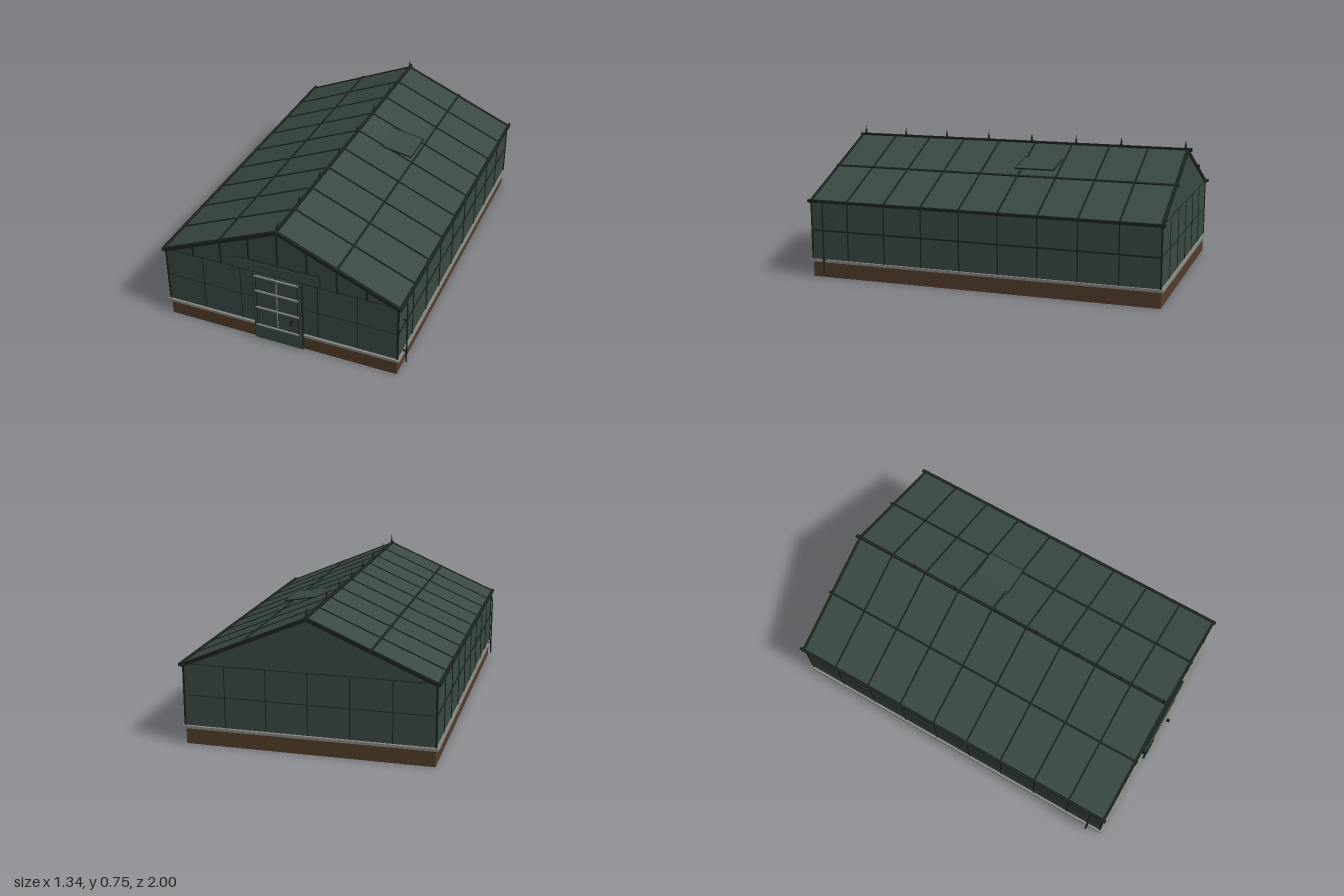
import * as THREE from 'three';

export function createModel() {
  const model = new THREE.Group();
  const mat = (name, color) => {
    const m = new THREE.MeshStandardMaterial({ color });
    m.name = name;
    return m;
  };
  const glass = mat('green glass', 0x3a4a43);
  const frame = mat('dark frame', 0x1c2421);
  const brick = mat('brown brick', 0x543d2b);
  const stone = mat('grey stone', 0x868780);

  const add = (name, geo, material, x = 0, y = 0, z = 0, parent = model) => {
    const mesh = new THREE.Mesh(geo, material);
    mesh.name = name;
    mesh.position.set(x, y, z);
    parent.add(mesh);
    return mesh;
  };
  // box given by its min and max on each axis
  const box = (name, material, [x0, x1], [y0, y1], [z0, z1], parent = model) =>
    add(name, new THREE.BoxGeometry(x1 - x0, y1 - y0, z1 - z0), material,
      (x0 + x1) / 2, (y0 + y1) / 2, (z0 + z1) / 2, parent);
  const around = (c, half) => [c - half, c + half];

  const back = -0.97, front = 0.95, wall = 0.643;
  const eave = 0.422, ridge = 0.697, sill = 0.1;
  const bays = 9, pitch = (front - back) / bays;

  // brick plinth and its stone cap
  box('plinth', brick, [-0.64, 0.64], [0, 0.086], [back, front]);
  box('plinthCap', stone, [-0.656, 0.656], [0.086, sill], [back - 0.015, front + 0.013]);

  // glazed walls with both gables
  const profile = new THREE.Shape([
    [-wall, sill], [wall, sill], [wall, eave], [0, ridge], [-wall, eave],
  ].map(([x, y]) => new THREE.Vector2(x, y)));
  add('glazedWalls', new THREE.ExtrudeGeometry(profile, { depth: front - back, bevelEnabled: false }),
    glass, 0, 0, back);

  // side wall bars
  for (const s of [-1, 1]) {
    for (let i = 0; i <= bays; i++) {
      box('wallMullion', frame, around(s * wall, 0.004), [sill, eave], around(back + i * pitch, 0.003));
    }
    box('wallRail', frame, around(s * wall, 0.005), around(0.261, 0.004), [back, front]);
  }

  // end wall bars
  for (const [z, isFront] of [[back, false], [front, true]]) {
    for (let i = -2; i <= 2; i++) {
      if (isFront && i === 0) continue;
      box('endMullion', frame, around(i * 0.2145, 0.002), [sill, eave], around(z, 0.003));
    }
    box('endRail', frame, [-wall, wall], around(0.261, 0.0015), around(z, 0.003));
    box('endTieBar', frame, [-wall, wall], around(eave + 0.002, 0.0015), around(z, 0.003));
    for (const s of [-1, 1]) {
      box('cornerPost', frame, around(s * wall, 0.005), [sill, eave], around(z, 0.004));
    }
  }
  // front gable studs
  for (let i = -3; i <= 3; i++) {
    const x = i * 0.16;
    box('gableStud', frame, around(x, 0.004), [eave, ridge - Math.abs(x) * 0.4277], around(front, 0.006));
  }

  // roof slopes, each built along its own slope and tilted
  const slope = Math.atan2(ridge - eave, wall);
  const length = 0.655 / Math.cos(slope);
  for (const s of [-1, 1]) {
    const side = new THREE.Group();
    side.name = s > 0 ? 'leftRoofSlope' : 'rightRoofSlope';
    side.position.y = ridge;
    side.rotation.z = -s * slope;
    model.add(side);
    const span = s > 0 ? [0, length] : [-length, 0];
    box('roofGlass', glass, span, [-0.003, 0.003], [back, front], side);
    for (let i = 0; i <= bays; i++) {
      const edge = i === 0 || i === bays;
      box(edge ? 'endRafter' : 'roofBar', frame, span, [edge ? -0.012 : -0.004, 0.007],
        around(back + i * pitch, edge ? 0.008 : 0.005), side);
    }
    box('purlin', frame, around(s * 0.32 / Math.cos(slope), 0.006), [-0.004, 0.009],
      [back - 0.018, front + 0.012], side);

    // gutter and downpipe
    box('gutter', frame, around(s * 0.654, 0.008), [0.415, 0.43], [back - 0.02, front + 0.015]);
    const path = new THREE.CatmullRomCurve3([
      [0.653, 0.42], [0.661, 0.395], [0.664, 0.34], [0.664, 0.2], [0.664, 0.03],
    ].map(([x, y]) => new THREE.Vector3(s * x, y, 0.875)));
    add('downpipe', new THREE.TubeGeometry(path, 20, 0.0045, 8), frame);
    for (const y of [0.1, 0.3]) {
      box('pipeClip', frame, around(s * 0.656, 0.012), around(y, 0.003), around(0.875, 0.006));
    }
  }

  // ridge and finials
  box('ridgeBeam', frame, [-0.008, 0.008], [0.69, 0.709], [back - 0.025, front + 0.015]);
  const finialProfile = [[0, 0], [0.008, 0], [0.008, 0.008], [0.004, 0.014], [0.006, 0.02], [0.003, 0.028], [0, 0.05]]
    .map(([r, y]) => new THREE.Vector2(r, y));
  const finialGeo = new THREE.LatheGeometry(finialProfile, 8);
  for (const z of [0.932, 0.675, 0.419, 0.162, -0.095, -0.352, -0.608, -0.96]) {
    add('finial', finialGeo, frame, 0, 0.705, z);
  }

  // opened roof vent
  const vent = new THREE.Group();
  vent.name = 'roofVent';
  vent.position.set(0.32, 0.605, -0.21);
  vent.rotation.z = -Math.atan2(0.03, 0.16);
  model.add(vent);
  box('ventGlass', glass, [-0.3, 0], [-0.002, 0.002], [-0.106, 0.106], vent);
  for (const z of [-0.106, 0.106]) {
    box('ventSideBar', frame, [-0.3, 0], [-0.003, 0.003], around(z, 0.003), vent);
  }
  box('ventLip', frame, [-0.003, 0.002], [-0.003, 0.003], [-0.106, 0.106], vent);

  // sliding door
  box('doorSurround', frame, [-0.136, 0.136], [0.01, 0.437], [front, 0.969]);
  box('doorPanel', glass, [-0.131, 0.131], [0.014, 0.433], [front, 0.974]);
  for (const s of [-1, 1]) {
    box('doorStile', frame, around(s * 0.115, 0.002), [0.1, 0.425], [0.97, 0.977]);
  }
  for (const y of [0.105, 0.22, 0.325, 0.419]) {
    box('doorRail', stone, [-0.121, 0.121], around(y, 0.004), [0.97, 0.982]);
  }
  box('doorCentreBar', stone, [-0.002, 0.002], [0.105, 0.419], [0.97, 0.979]);
  box('doorHandle', frame, around(0.086, 0.004), [0.17, 0.207], [0.974, 1.0]);

  // door header
  box('headerEdge', frame, [-0.231, 0.231], [0.438, 0.497], [front, 0.966]);
  box('headerBoard', glass, [-0.228, 0.228], [0.441, 0.494], [front, 0.97]);

  return model;
}
